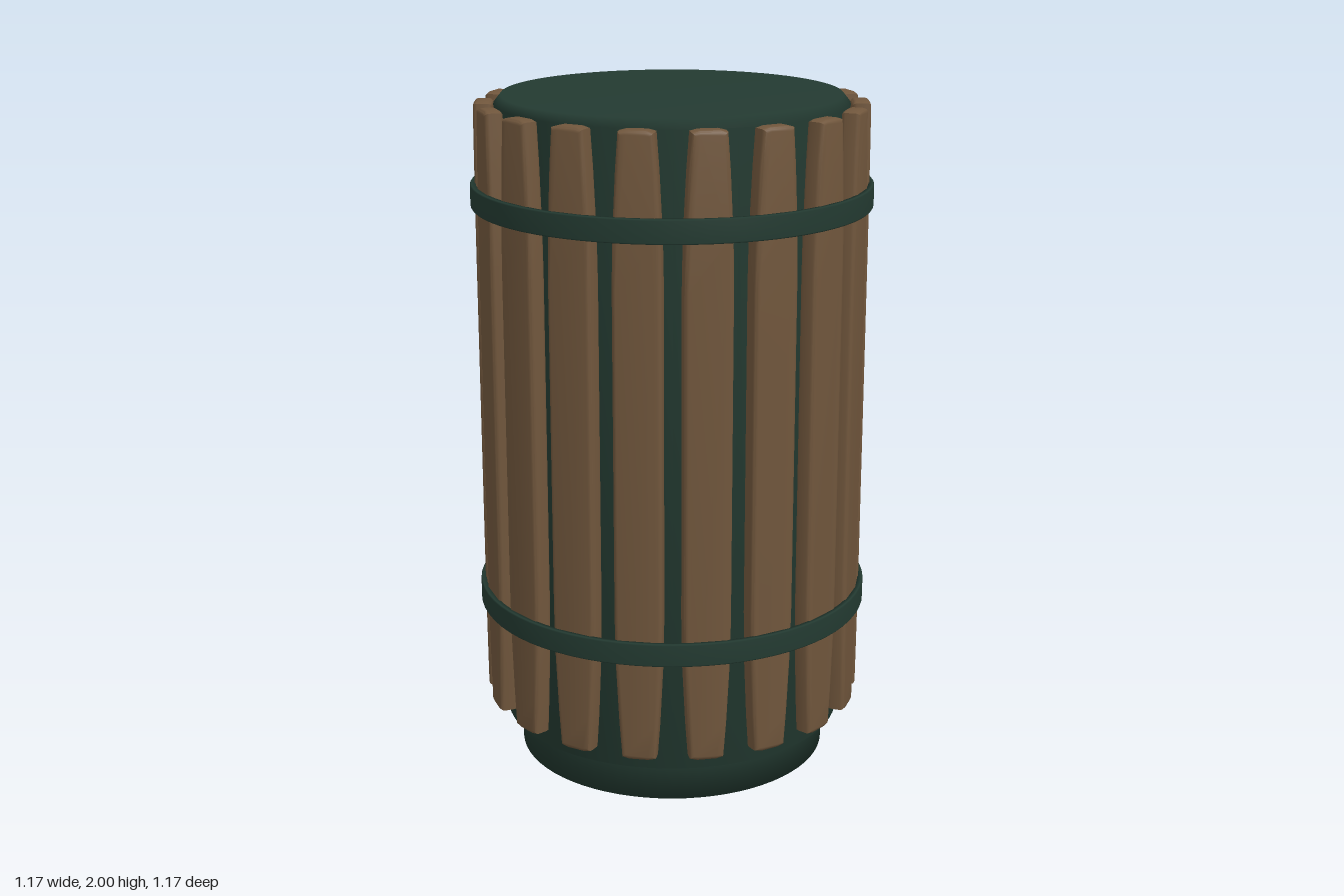
import * as THREE from 'three';
import { toCreasedNormals } from 'three/addons/utils/BufferGeometryUtils.js';

const green = new THREE.MeshStandardMaterial({ color: 0x233a31 });
green.name = 'dark green metal';
const brown = new THREE.MeshStandardMaterial({ color: 0x70563c });
brown.name = 'brown wood';

// Smooth turned part from [radius, height] pairs, listed bottom to top
function turned(name, profile) {
  const points = profile.map(([r, y]) => new THREE.Vector2(r, y));
  const mesh = new THREE.Mesh(new THREE.LatheGeometry(points, 72), green);
  mesh.name = name;
  return mesh;
}

// Upright board with rounded edges and ends that narrow slightly
function slatGeometry() {
  const bevel = 0.012, depth = 0.054;
  const half = [[0.038, 0.17], [0.05, 0.185], [0.057, 0.28], [0.066, 0.46], [0.0685, 0.6],
    [0.0685, 1.55], [0.066, 1.69], [0.057, 1.87], [0.05, 1.965], [0.038, 1.98]];
  const inset = ([x, y]) => [x - bevel, THREE.MathUtils.clamp(y, 0.17 + bevel, 1.98 - bevel)];
  const right = half.map(inset);
  const left = right.map(([x, y]) => [-x, y]).reverse();
  const shape = new THREE.Shape([...right, ...left].map(([x, y]) => new THREE.Vector2(x, y)));
  const geometry = new THREE.ExtrudeGeometry(shape, {
    depth: depth - 2 * bevel, bevelEnabled: true, bevelSize: bevel,
    bevelThickness: bevel, bevelSegments: 3, steps: 1,
  });
  geometry.translate(0, 0, 0.513 + bevel);
  return toCreasedNormals(geometry, 0.7);
}

export function createModel() {
  const model = new THREE.Group();
  model.name = 'slatted barrel';

  // Foot and inner drum
  model.add(turned('foot', [[0, 0], [0.465, 0], [0.465, 0.12]]));
  model.add(turned('innerDrum', [[0, 0.12], [0.51, 0.12], [0.51, 1.975], [0.49, 2], [0, 2]]));

  // Ring of wooden slats
  const geometry = slatGeometry();
  const count = 18;
  for (let i = 0; i < count; i++) {
    const slat = new THREE.Mesh(geometry, brown);
    slat.name = 'slat';
    slat.rotation.y = Math.PI / 2 + (i / count) * Math.PI * 2;
    model.add(slat);
  }

  // Two hoops around the slats
  for (const [name, y] of [['lowerHoop', 0.505], ['upperHoop', 1.715]]) {
    const h = 0.034, inner = 0.567, outer = 0.583;
    model.add(turned(name, [
      [inner, y - h], [outer - 0.003, y - h], [outer, y - h + 0.004],
      [outer, y + h - 0.004], [outer - 0.003, y + h], [inner, y + h], [inner, y - h],
    ]));
  }
  return model;
}
